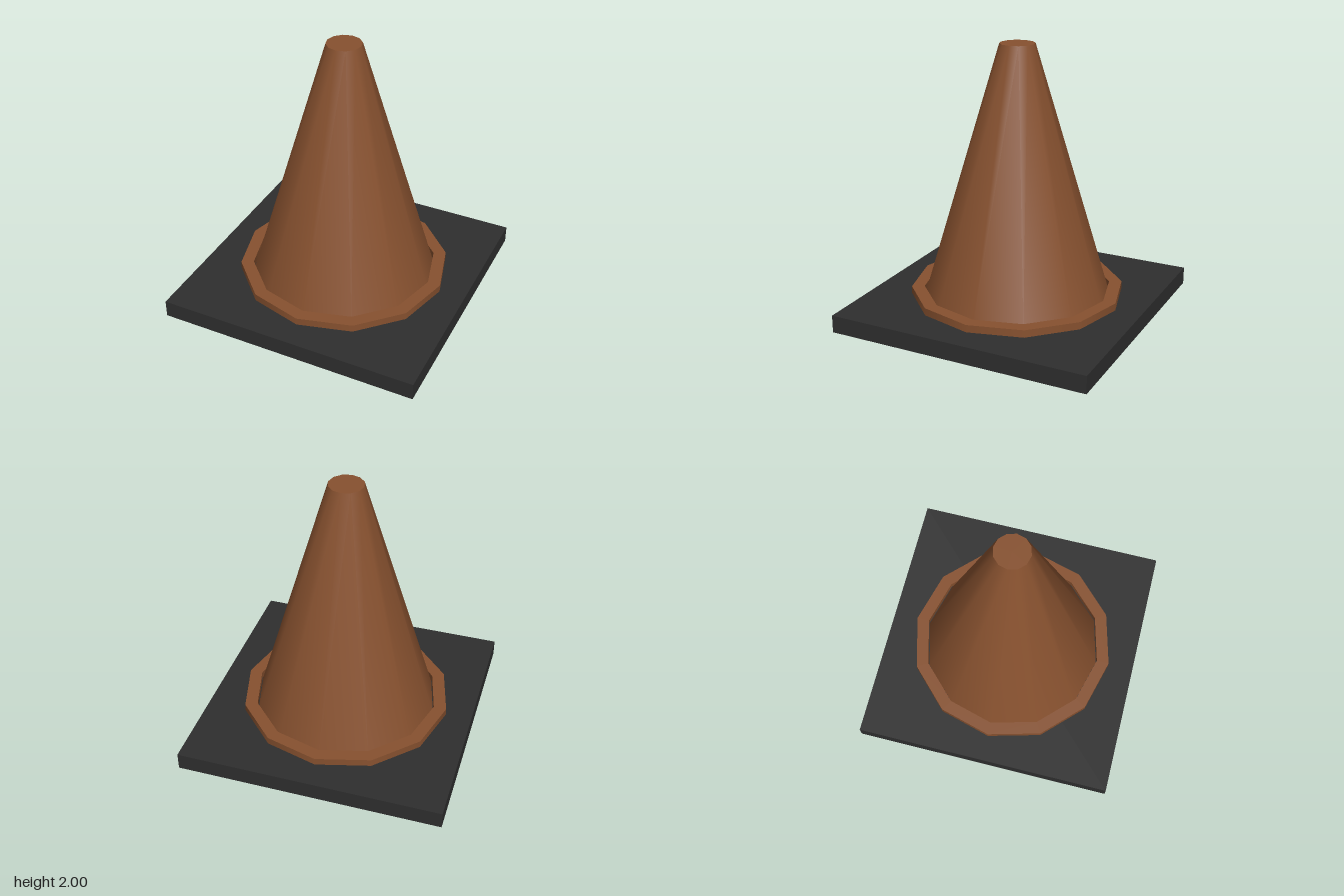
import * as THREE from 'three';

const SIDES = 12;
const BASE_TOP = 0.13;
const FLANGE_TOP = 0.185;

export function createModel() {
  const model = new THREE.Group();
  model.name = 'trafficCone';
  const brown = new THREE.MeshStandardMaterial({ color: 0x87512f, side: THREE.DoubleSide });
  brown.name = 'orange brown';
  const black = new THREE.MeshStandardMaterial({ color: 0x2e2e2e, side: THREE.DoubleSide });
  black.name = 'black rubber';

  const add = (name, geometry, material, y, parent = model) => {
    const mesh = new THREE.Mesh(geometry, material);
    mesh.name = name;
    mesh.position.y = y;
    parent.add(mesh);
    return mesh;
  };

  // Hollow square base: a box with its underside left open
  const box = new THREE.BoxGeometry(1.96, BASE_TOP, 1.96);
  const index = Array.from(box.index.array);
  index.splice(18, 6);
  box.setIndex(index);
  box.clearGroups();
  add('base', box, black, BASE_TOP / 2);

  // Flange: a flat ring with outer and inner walls
  const flange = new THREE.Group();
  flange.name = 'flange';
  model.add(flange);
  const outer = 0.785, inner = 0.69, height = FLANGE_TOP - BASE_TOP;
  for (const [name, r] of [['flangeOuterWall', outer], ['flangeInnerWall', inner]]) {
    const wall = new THREE.CylinderGeometry(r, r, height, SIDES, 1, true);
    add(name, wall, brown, BASE_TOP + height / 2, flange);
  }
  const ring = new THREE.RingGeometry(inner, outer, SIDES).rotateX(-Math.PI / 2);
  add('flangeTop', ring, brown, FLANGE_TOP, flange);

  // Tapered body, closed at the tip and open where it meets the base
  const bodyHeight = 2 - BASE_TOP;
  const body = new THREE.CylinderGeometry(0.127, 0.685, bodyHeight, SIDES, 1, true);
  add('coneBody', body, brown, BASE_TOP + bodyHeight / 2);
  const cap = new THREE.CircleGeometry(0.127, SIDES).rotateX(-Math.PI / 2);
  add('coneTip', cap, brown, 2);

  return model;
}
